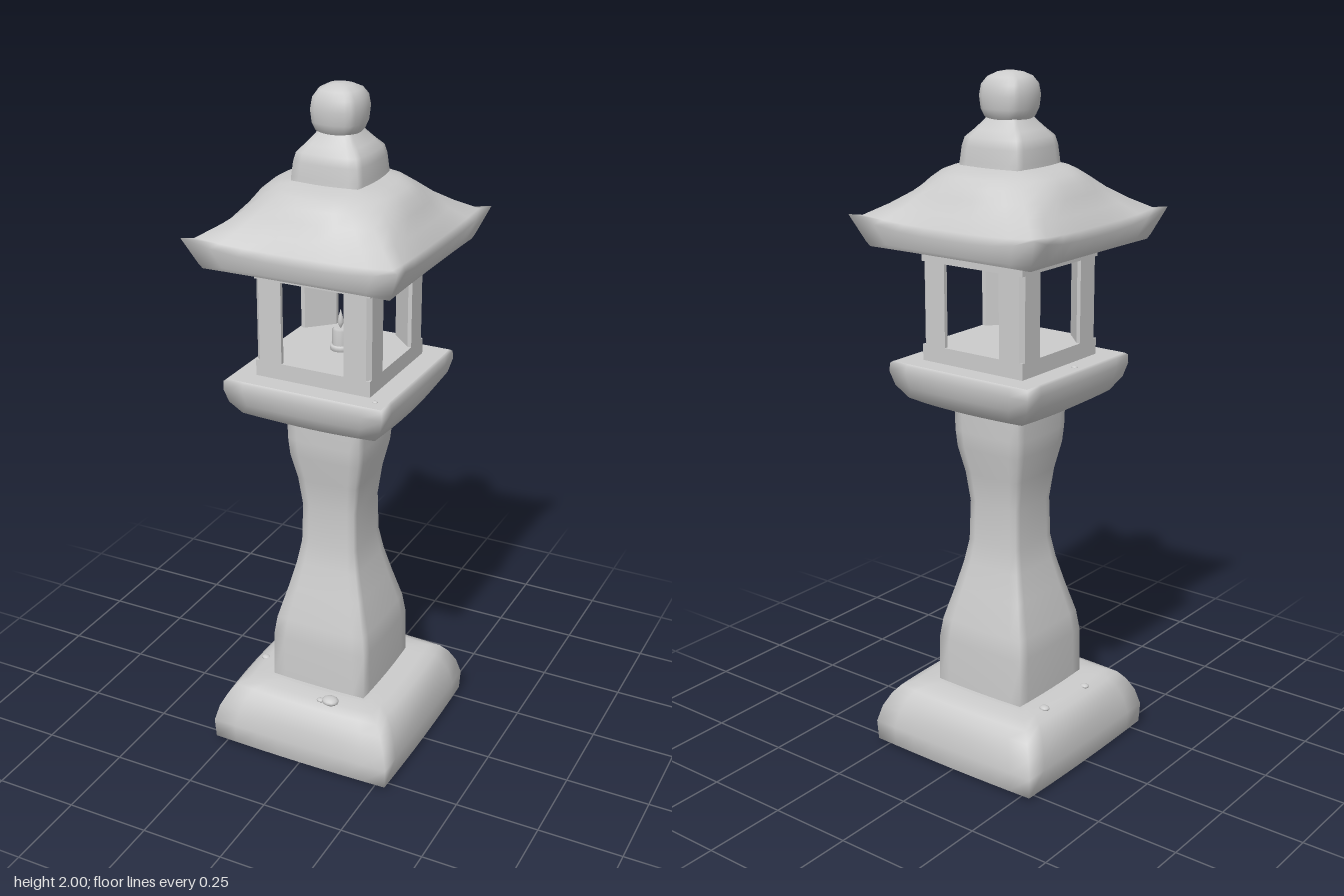
import * as THREE from 'three';

const stone = new THREE.MeshStandardMaterial({ color: 0xcccccc });

// Square loft. Rows run bottom to top: [y, half width at mid side, half width at corner, corner lift]
function squareLoft(rows, power = 2, segs = 8) {
  const pos = [], idx = [], ring = segs * 4;
  const addRow = ([y, mid, corner = mid, lift = 0]) => {
    const start = pos.length / 3;
    for (let k = 0; k < 4; k++) {
      for (let s = 0; s < segs; s++) {
        const t = (s / segs) * 2 - 1, f = Math.abs(t) ** power;
        let x = corner * t, z = mid + (corner - mid) * f;
        for (let r = 0; r < k; r++) [x, z] = [z, -x];
        pos.push(x, y + lift * f, z);
      }
    }
    return start;
  };
  // Walls
  const starts = rows.map(addRow);
  for (let i = 0; i < rows.length - 1; i++) {
    for (let j = 0; j < ring; j++) {
      const n = (j + 1) % ring, a = starts[i], b = starts[i + 1];
      idx.push(a + j, a + n, b + n, a + j, b + n, b + j);
    }
  }
  // Flat caps with their own vertices, so the rims stay crisp
  [[rows[0], true], [rows[rows.length - 1], false]].forEach(([row, down]) => {
    const s = addRow(row), c = pos.length / 3;
    pos.push(0, row[0], 0);
    for (let j = 0; j < ring; j++) {
      const n = (j + 1) % ring;
      idx.push(c, s + (down ? n : j), s + (down ? j : n));
    }
  });
  const geo = new THREE.BufferGeometry();
  geo.setAttribute('position', new THREE.Float32BufferAttribute(pos, 3));
  geo.setIndex(idx);
  geo.computeVertexNormals();
  return geo;
}

export function createModel() {
  const model = new THREE.Group();
  model.name = 'stoneLantern';
  const add = (name, geo, parent = model) => {
    const mesh = new THREE.Mesh(geo, stone);
    mesh.name = name;
    parent.add(mesh);
    return mesh;
  };

  // Rounded foot block
  add('base', squareLoft([
    [0, 0.27, 0.25], [0.01, 0.29, 0.285], [0.07, 0.29, 0.288], [0.12, 0.282, 0.275],
    [0.16, 0.268, 0.255], [0.185, 0.245, 0.235], [0.197, 0.215, 0.205], [0.2, 0.17, 0.16],
  ]));

  // Waisted pillar
  add('pillar', squareLoft([
    [0.19, 0.156, 0.152], [0.34, 0.155, 0.15], [0.4, 0.146, 0.142], [0.5, 0.12, 0.116],
    [0.58, 0.1, 0.097], [0.65, 0.088, 0.085], [0.77, 0.086, 0.082], [0.86, 0.098, 0.092],
    [0.94, 0.116, 0.108], [0.99, 0.12, 0.112], [1.08, 0.122, 0.114],
  ]));

  // Bowl-shaped platform
  add('platform', squareLoft([
    [1.065, 0.15, 0.145], [1.07, 0.18, 0.17], [1.09, 0.215, 0.205], [1.13, 0.238, 0.232],
    [1.17, 0.245, 0.243], [1.195, 0.243, 0.242], [1.2, 0.236, 0.235],
  ]));

  // Light chamber: sill, four three-sided corner posts, lintel
  const chamber = new THREE.Group();
  chamber.name = 'lightChamber';
  model.add(chamber);
  add('sill', new THREE.BoxGeometry(0.35, 0.05, 0.35), chamber).position.y = 1.222;
  add('lintel', new THREE.BoxGeometry(0.35, 0.06, 0.35), chamber).position.y = 1.515;
  const o = 0.175, i = 0.095, r = 0.012;
  const section = new THREE.Shape([
    [o - r, o], [i, o], [i, o - 0.012], [o - 0.012, i], [o, i], [o, o - r],
  ].map(([x, y]) => new THREE.Vector2(x, y)));
  const postGeo = new THREE.ExtrudeGeometry(section, { depth: 0.33, bevelEnabled: false });
  postGeo.rotateX(-Math.PI / 2);
  for (let k = 0; k < 4; k++) {
    const post = add('cornerPost', postGeo, chamber);
    post.position.y = 1.2;
    post.rotation.y = (k * Math.PI) / 2;
  }

  // Candle with dish and flame
  const candle = new THREE.Group();
  candle.name = 'candle';
  model.add(candle);
  const lathe = (name, pts) => add(name,
    new THREE.LatheGeometry(pts.map(([x, y]) => new THREE.Vector2(x, y)), 16), candle);
  lathe('candleDish', [[0, 1.24], [0.03, 1.24], [0.03, 1.262], [0, 1.262]]);
  lathe('candleBody', [[0.024, 1.26], [0.024, 1.306], [0.018, 1.31], [0, 1.308]]);
  lathe('flame', [[0, 1.308], [0.004, 1.315], [0.009, 1.328], [0.006, 1.345], [0, 1.367]]);

  // Flared roof with upturned corners
  add('roof', squareLoft([
    [1.53, 0.272, 0.275], [1.54, 0.278, 0.283, 0.005], [1.58, 0.289, 0.315, 0.04],
    [1.605, 0.283, 0.288, 0.012], [1.64, 0.25, 0.235, 0.008], [1.68, 0.226, 0.19],
    [1.71, 0.205, 0.158], [1.73, 0.182, 0.135], [1.742, 0.15, 0.118], [1.75, 0.1, 0.095],
  ], 3));

  // Stepped cap
  add('roofCap', squareLoft([
    [1.735, 0.11, 0.1], [1.76, 0.107, 0.098], [1.8, 0.105, 0.094], [1.825, 0.098, 0.088],
    [1.845, 0.08, 0.07], [1.87, 0.058, 0.05], [1.885, 0.05, 0.042],
  ]));

  // Rounded finial
  add('finial', squareLoft([
    [1.865, 0.05, 0.04], [1.88, 0.063, 0.05], [1.9, 0.071, 0.057], [1.935, 0.074, 0.06],
    [1.965, 0.07, 0.056], [1.985, 0.056, 0.044], [1.996, 0.034, 0.026], [2, 0.012, 0.009],
  ]));

  // Small pebbles: x, y, z, radius
  const pebbleGeo = new THREE.SphereGeometry(1, 12, 8);
  [
    [0.07, 0.203, 0.21, 0.026], [0.04, 0.2, 0.215, 0.012], [-0.21, 0.198, -0.11, 0.016],
    [-0.22, 0.195, 0.08, 0.014], [0.2, 1.2, 0.195, 0.008], [-0.21, 1.2, 0.02, 0.01],
  ].forEach(([x, y, z, s]) => {
    const pebble = add('pebble', pebbleGeo);
    pebble.position.set(x, y, z);
    pebble.scale.set(s, s * 0.5, s * 0.85);
  });

  return model;
}
